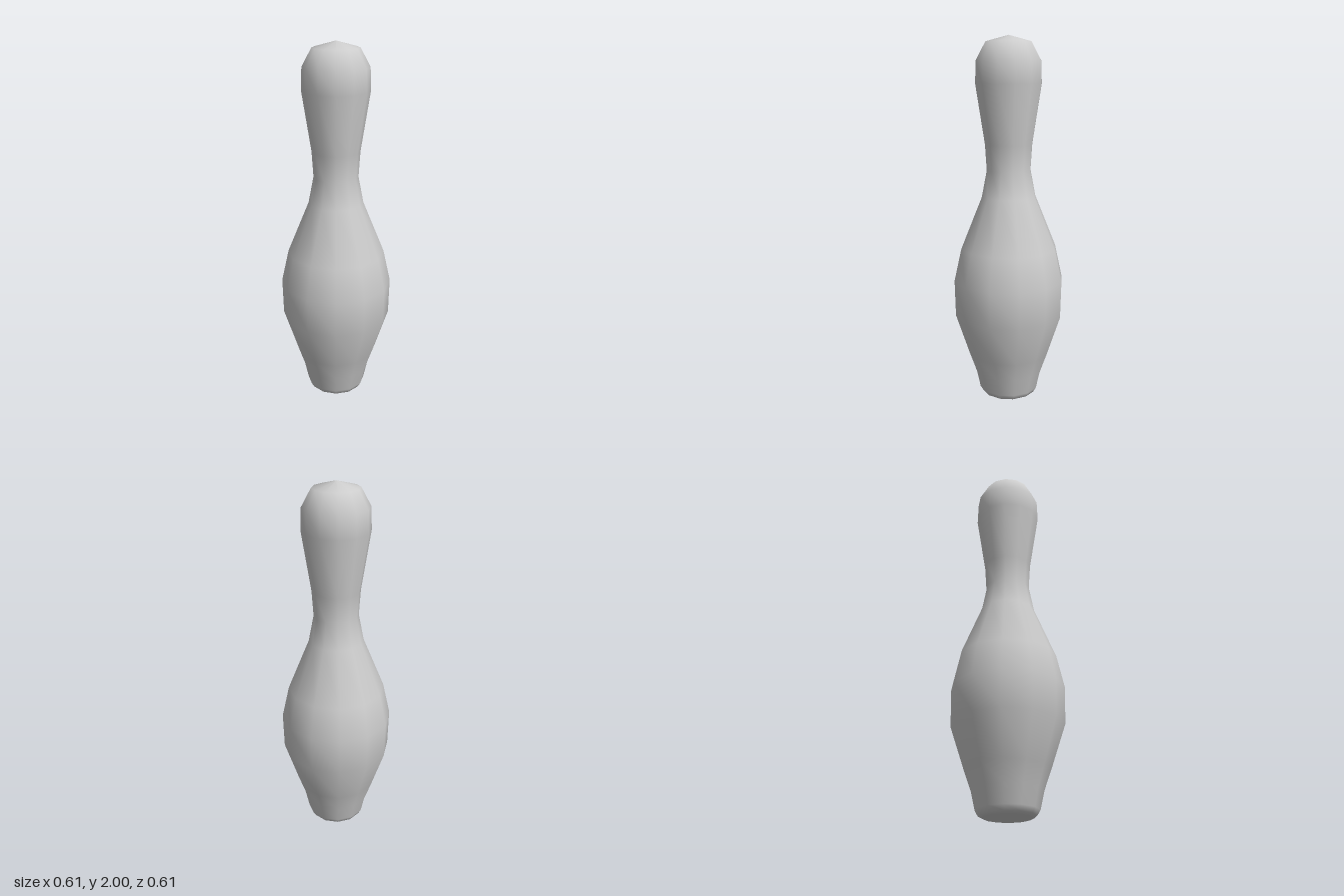
import * as THREE from 'three';

// Silhouette from the centre of the base up to the crown: [radius, height]
const PROFILE = [
  [0, 0], [0.125, 0.006], [0.148, 0.018], [0.164, 0.045], // rounded foot
  [0.185, 0.14], [0.224, 0.25], [0.3, 0.48], [0.305, 0.68], [0.265, 0.86], // belly
  [0.149, 1.145], [0.121, 1.29], [0.13, 1.43], // neck
  [0.18, 1.75], [0.176, 1.87], [0.124, 1.966], [0, 2], // head
];

export function createModel() {
  const group = new THREE.Group();
  group.name = 'bowlingPin';

  // Twelve-sided turned body with smooth normals
  const points = PROFILE.map(([r, y]) => new THREE.Vector2(r, y));
  const body = new THREE.Mesh(
    new THREE.LatheGeometry(points, 12),
    new THREE.MeshStandardMaterial({ color: 0xcccccc })
  );
  body.name = 'pinBody';
  group.add(body);
  return group;
}
